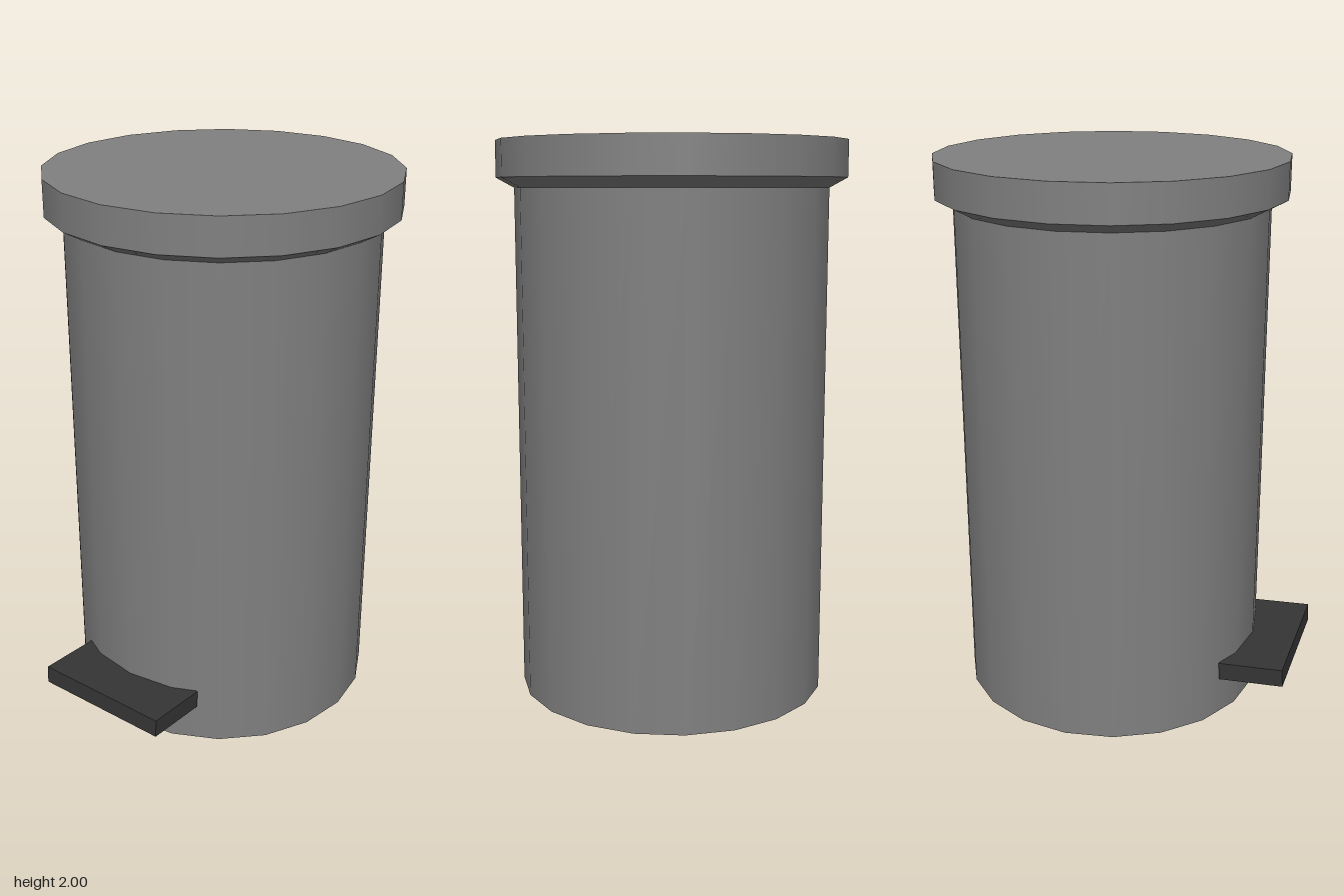
import * as THREE from 'three';

export function createModel() {
  const group = new THREE.Group();
  group.name = 'pedalBin';
  const metal = new THREE.MeshStandardMaterial({ color: 0x808080 });
  const dark = new THREE.MeshStandardMaterial({ color: 0x353535 });
  const SIDES = 20, AXIS_Z = -0.053;

  // Upright round section between two heights, smooth around its side
  function drum(name, rTop, rBottom, y0, y1, open = false) {
    const geometry = new THREE.CylinderGeometry(rTop, rBottom, y1 - y0, SIDES, 1, open);
    const mesh = new THREE.Mesh(geometry, metal);
    mesh.name = name;
    mesh.position.set(0, (y0 + y1) / 2, AXIS_Z);
    return mesh;
  }

  group.add(drum('body', 0.563, 0.563, 0, 1.835));

  // Lid: straight rim above a bevel that tucks in to the body
  const lid = new THREE.Group();
  lid.name = 'lid';
  lid.add(
    drum('lidRim', 0.627, 0.627, 1.87, 2),
    drum('lidBevel', 0.627, 0.563, 1.835, 1.87, true)
  );
  group.add(lid);

  // Foot pedal, front edge tipped slightly up
  const pedal = new THREE.Mesh(new THREE.BoxGeometry(0.526, 0.066, 0.236), dark);
  pedal.name = 'pedal';
  pedal.position.set(0, 0.182, 0.56);
  pedal.rotation.x = -0.055;
  group.add(pedal);

  return group;
}
